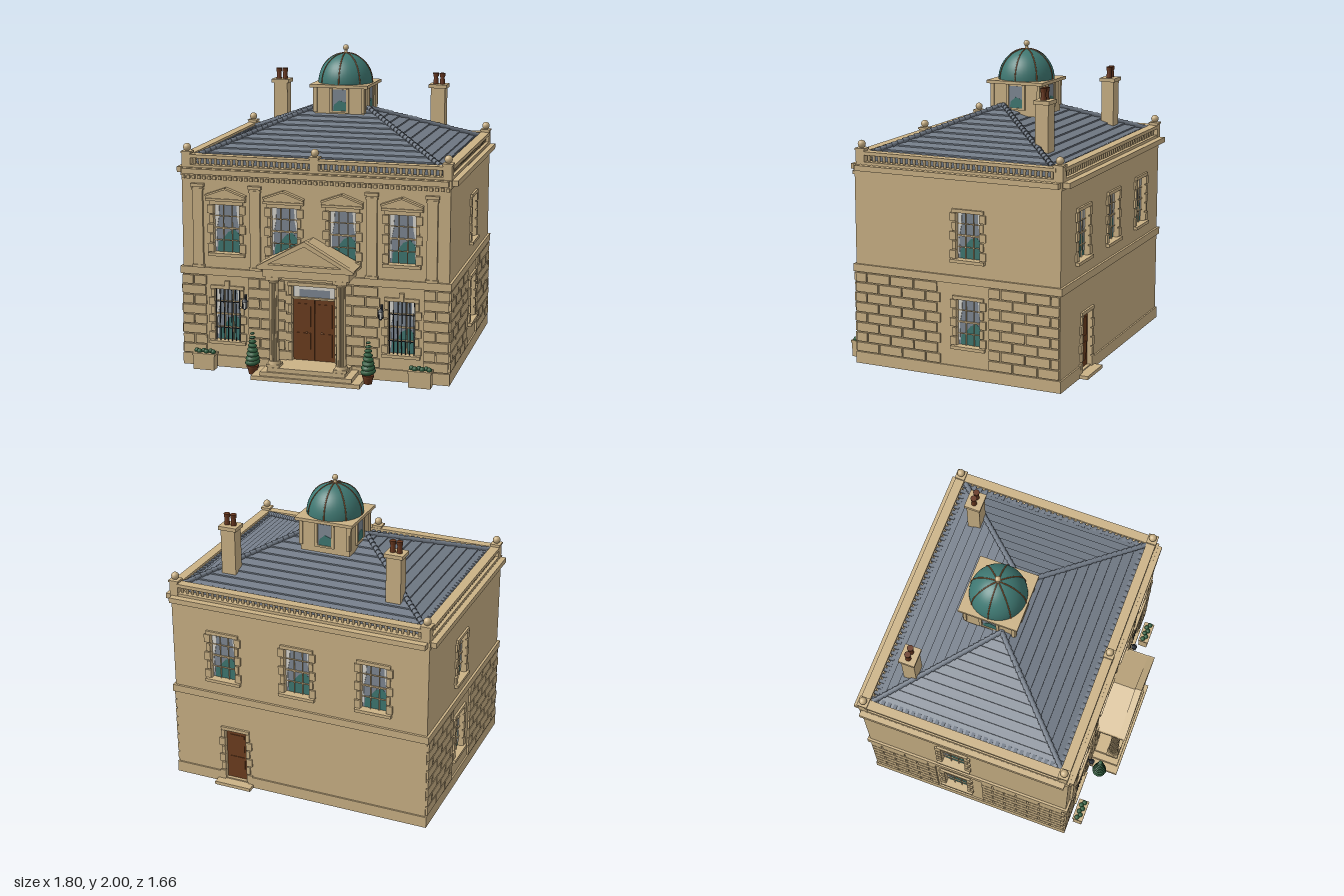
import * as THREE from 'three';
import { mergeGeometries } from 'three/addons/utils/BufferGeometryUtils.js';

const mat = (name, color, side = THREE.FrontSide) => {
  const m = new THREE.MeshStandardMaterial({ color, side });
  m.name = name;
  return m;
};
const SIDES = [-1, 1];

// geometry helpers
const box = (w, h, d, x = 0, y = 0, z = 0) => new THREE.BoxGeometry(w, h, d).translate(x, y, z);
const span = (x0, x1, y0, y1, z0, z1) =>
  box(x1 - x0, y1 - y0, z1 - z0, (x0 + x1) / 2, (y0 + y1) / 2, (z0 + z1) / 2);
const cyl = (rt, rb, h, x, y, z, n = 16) => new THREE.CylinderGeometry(rt, rb, h, n).translate(x, y, z);
const ball = (r, x, y, z) => new THREE.SphereGeometry(r, 16, 12).translate(x, y, z);
const poly = (pts) => new THREE.Shape(pts.map(([x, y]) => new THREE.Vector2(x, y)));
const slab = (shape, z0, z1) =>
  new THREE.ExtrudeGeometry(shape, { depth: z1 - z0, bevelEnabled: false }).translate(0, 0, z0);

function add(parent, name, geos, material) {
  const list = [geos].flat().map((g) => (g.index ? g.toNonIndexed() : g));
  const mesh = new THREE.Mesh(list.length > 1 ? mergeGeometries(list) : list[0], material);
  mesh.name = name;
  parent.add(mesh);
  return mesh;
}
function group(parent, name, x = 0, y = 0, z = 0, ry = 0) {
  const g = new THREE.Group();
  g.name = name;
  g.position.set(x, y, z);
  g.rotation.y = ry;
  parent.add(g);
  return g;
}

export function createModel() {
  const M = {
    stone: mat('stone', 0xcbb286), slate: mat('slate', 0x737c88, THREE.DoubleSide),
    verdigris: mat('verdigris', 0x3f7872), copper: mat('copper', 0x9a6238),
    wood: mat('wood', 0x6e3e1f), clay: mat('clay', 0x67371f),
    leaf: mat('foliage', 0x2f5c3d), glass: mat('glass', 0x7f8994),
    iron: mat('iron', 0x2e343c), white: mat('white', 0xdcdad2),
  };
  const root = new THREE.Group();
  root.name = 'townHouse';

  // wall panel with openings [x, y, w, h], outer face on local z = 0
  function wall(parent, x0, x1, holes) {
    const s = poly([[x0, 0], [x1, 0], [x1, 1.25], [x0, 1.25]]);
    for (const [x, y, w, h] of holes) {
      const [a, b, c, d] = [x - w / 2, x + w / 2, y - h / 2, y + h / 2];
      s.holes.push(new THREE.Path([[a, c], [a, d], [b, d], [b, c]].map((p) => new THREE.Vector2(...p))));
    }
    add(parent, 'wall', slab(s, -0.05, 0), M.stone);
  }

  // alternating long and short blocks beside an opening
  function quoins(parent, w, h) {
    const n = Math.round(h / 0.058), g = [];
    for (const s of SIDES) for (let i = 0; i < n; i++) {
      const bw = i % 2 ? 0.024 : 0.04;
      g.push(box(bw, h / n - 0.008, 0.014, s * (w / 2 + bw / 2), -h / 2 + (i + 0.5) * h / n, 0.005));
    }
    g.push(box(w + 0.05, 0.022, 0.016, 0, h / 2 + 0.011, 0.006));
    add(parent, 'surround', g, M.stone);
  }

  function windowUnit(parent, [x, y, w, h], { pediment, grille } = {}) {
    const g = group(parent, 'window', x, y, 0);
    add(g, 'pane', box(w, h, 0.004, 0, 0, -0.032), M.glass);
    const tint = poly([[-0.42, -0.5], [-0.4, -0.3], [-0.2, -0.22], [0, -0.08], [0.25, -0.02], [0.42, -0.12],
      [0.5, -0.1], [0.5, -0.5]].map(([a, b]) => [a * w, b * h]));
    add(g, 'paneTint', slab(tint, -0.0355, -0.0285), M.verdigris);
    const drapes = SIDES.map((s) => {
      const p = [[0.5, 0.5], [0.33, 0.5], [0.36, 0.2], [0.45, -0.05], [0.43, -0.4], [0.5, -0.4]];
      return slab(poly(p.map(([a, b]) => [s * a * w, b * h])), -0.028, -0.024);
    });
    add(g, 'curtains', drapes, M.white);
    const bars = [box(0.005, h, 0.008, -w / 6, 0, -0.021), box(0.005, h, 0.008, w / 6, 0, -0.021)];
    for (const k of [-0.25, 0, 0.25]) bars.push(box(w, k ? 0.005 : 0.01, 0.008, 0, k * h, -0.021));
    add(g, 'glazingBars', bars, M.stone);
    quoins(g, w, h);
    add(g, 'sill', box(w + 0.07, 0.02, 0.03, 0, -h / 2 - 0.01, 0.01), M.stone);
    if (pediment) {
      const t = h / 2 + 0.025;
      add(g, 'pediment', [
        box(w + 0.09, 0.016, 0.03, 0, t + 0.008, 0.014),
        slab(poly([[-0.13, t + 0.016], [0.13, t + 0.016], [0.13, t + 0.032], [0, t + 0.08], [-0.13, t + 0.032]]), 0, 0.02),
        ...SIDES.map((s) => box(0.14, 0.012, 0.034, 0, 0, 0.016).rotateZ(-s * 0.354).translate(s * 0.066, t + 0.058, 0)),
      ], M.stone);
    }
    if (grille) {
      const r = [-0.25, 0.25].map((k) => box(w, 0.005, 0.005, 0, k * h, 0));
      for (let i = 0; i < 7; i++) r.push(cyl(0.003, 0.003, h, (i / 6 - 0.5) * (w - 0.015), 0, 0, 6));
      add(g, 'grille', r, M.iron);
      add(g, 'keystone', box(0.03, 0.05, 0.022, 0, h / 2 + 0.03, 0.008), M.stone);
    }
  }

  // running-bond stone blocks on the ground floor
  function rustication(parent, x0, x1, len = 0.165) {
    const g = [];
    for (let i = 0; i < 8; i++) {
      for (let x = x0 - (i % 2 ? len / 2 : 0); x < x1 - 0.02; x += len) {
        const a = Math.max(x, x0), b = Math.min(x + len, x1);
        if (b - a > 0.03) g.push(span(a + 0.005, b - 0.005, 0.082 + i * 0.065, 0.139 + i * 0.065, -0.01, 0.013));
      }
    }
    add(parent, 'rustication', g, M.stone);
  }

  // front wall
  const front = group(root, 'frontWall', 0, 0, 0.62);
  const up = [-0.565, -0.188, 0.188, 0.565].map((x) => [x, 0.905, 0.17, 0.31]);
  const low = SIDES.map((s) => [s * 0.565, 0.345, 0.17, 0.34]);
  wall(front, -0.86, 0.86, [...up, ...low, [0, 0.325, 0.28, 0.49]]);
  up.forEach((o) => windowUnit(front, o, { pediment: true }));
  low.forEach((o) => windowUnit(front, o, { grille: true }));
  for (const s of SIDES) {
    rustication(front, ...[s * 0.7, s * 0.87].sort((a, b) => a - b));
    rustication(front, ...[s * 0.17, s * 0.43].sort((a, b) => a - b));
    for (const x of [0.375, 0.752]) {
      add(front, 'pilaster', [box(0.066, 0.54, 0.02, s * x, 0.92, 0.008), box(0.085, 0.02, 0.03, s * x, 1.18, 0.012),
        box(0.076, 0.012, 0.026, s * x, 1.155, 0.01), box(0.08, 0.018, 0.028, s * x, 0.659, 0.011)], M.stone);
    }
  }

  // main entrance
  const entry = group(front, 'entrance', 0, 0.325, 0);
  quoins(entry, 0.28, 0.49);
  for (const s of SIDES) {
    add(entry, 'doorLeaf', [box(0.137, 0.4, 0.016, s * 0.07, -0.045, -0.03),
      ...[-0.14, 0.05].map((y) => box(0.09, 0.15, 0.006, s * 0.07, y, -0.021))], M.wood);
    add(entry, 'doorKnob', ball(0.007, s * 0.05, -0.06, -0.015), M.copper);
  }
  add(entry, 'doorHead', box(0.28, 0.012, 0.024, 0, 0.16, -0.025), M.stone);
  add(entry, 'fanlight', box(0.28, 0.08, 0.004, 0, 0.205, -0.03), M.glass);
  add(entry, 'fanlightCurtain', [box(0.26, 0.018, 0.004, 0, 0.226, -0.026),
    ...SIDES.map((s) => box(0.03, 0.075, 0.004, s * 0.115, 0.205, -0.026))], M.white);

  // side walls
  for (const s of SIDES) {
    const side = group(root, s > 0 ? 'leftWall' : 'rightWall', s * 0.86, 0, 0, s * Math.PI / 2);
    const range = (a, b) => (s > 0 ? [a, b] : [-b, -a]);
    const holes = [[s * 0.16, 0.9, 0.16, 0.29], [s * 0.16, 0.355, 0.16, 0.295]];
    wall(side, ...range(-0.61, 0.755), holes);
    holes.forEach((o) => windowUnit(side, o));
    rustication(side, ...range(-0.625, -0.025));
    rustication(side, ...range(0.295, 0.765));
  }

  // back wall
  const back = group(root, 'backWall', 0, 0, -0.765, Math.PI);
  const rear = [-0.51, 0, 0.51].map((x) => [x, 0.905, 0.17, 0.31]);
  wall(back, -0.86, 0.86, [...rear, [-0.44, 0.21, 0.15, 0.36]]);
  rear.forEach((o) => windowUnit(back, o));
  const rearDoor = group(back, 'rearDoor', -0.44, 0.21, 0);
  quoins(rearDoor, 0.15, 0.36);
  add(rearDoor, 'rearDoorLeaf', [box(0.15, 0.36, 0.016, 0, 0, -0.03),
    ...[-0.08, 0.08].map((y) => box(0.1, 0.12, 0.006, 0, y, -0.021))], M.wood);
  add(root, 'rearStep', span(0.32, 0.57, 0, 0.022, -0.83, -0.76), M.stone);

  // plinth, string course, cornice
  add(root, 'plinth', [span(-0.87, 0.87, 0, 0.075, 0.57, 0.63), span(-0.87, 0.36, 0, 0.075, -0.775, -0.715),
    span(0.52, 0.87, 0, 0.075, -0.775, -0.715),
    ...SIDES.map((s) => box(0.06, 0.075, 1.29, s * 0.84, 0.0375, -0.0725))], M.stone);
  add(root, 'stringCourse', [span(-0.875, 0.875, 0.602, 0.65, 0.6, 0.635), span(-0.875, 0.875, 0.602, 0.65, -0.78, -0.745),
    ...SIDES.map((s) => box(0.035, 0.048, 1.36, s * 0.8575, 0.626, -0.0725))], M.stone);
  add(root, 'cornice', [span(-0.865, 0.865, 1.235, 1.286, -0.77, 0.625), span(-0.85, 0.85, 1.25, 1.284, 0.6, 0.65),
    span(-0.85, 0.85, 1.25, 1.284, -0.815, -0.75),
    ...SIDES.map((s) => box(0.06, 0.034, 1.36, s * 0.87, 1.267, -0.08))], M.stone);
  const dentils = [];
  for (let i = 0; i < 50; i++) dentils.push(box(0.019, 0.022, 0.022, -0.845 + i * 0.0345, 1.23, 0.628));
  add(root, 'dentils', dentils, M.stone);

  // parapet with balusters, piers and ball finials
  const [zF, zB, xS] = [0.58, -0.745, 0.835], zM = (zF + zB) / 2;
  const parapet = [], balusters = [];
  for (const [y, h, w] of [[1.293, 0.018, 0.055], [1.356, 0.022, 0.06]]) {
    for (const z of [zF, zB]) parapet.push(box(1.64, h, w, 0, y, z));
    for (const s of SIDES) parapet.push(box(w, h, zF - zB - 0.03, s * xS, y, zM));
  }
  for (let i = 0; i < 46; i++) for (const z of [zF, zB]) balusters.push(cyl(0.012, 0.008, 0.046, -0.7875 + i * 0.035, 1.323, z, 8));
  for (let i = 0; i < 36; i++) for (const s of SIDES) balusters.push(cyl(0.012, 0.008, 0.046, s * xS, 1.323, zM - 0.6125 + i * 0.035, 8));
  add(root, 'parapetRails', parapet, M.stone);
  add(root, 'balusters', balusters, M.stone);
  for (const [x, z] of [[-xS, zF], [xS, zF], [-xS, zB], [xS, zB], [0, zF]]) {
    add(root, 'parapetPier', [box(0.055, 0.1, 0.058, x, 1.335, z), box(0.066, 0.012, 0.066, x, 1.38, z), ball(0.025, x, 1.409, z)], M.stone);
  }

  // hipped roof in overlapping courses
  const ring = (t, lift) => {
    const x = 0.8 - 0.625 * t, y = 1.335 + 0.262 * t + lift, f = 0.55 - 0.625 * t, b = -0.7 + 0.625 * t;
    return [[-x, y, f], [x, y, f], [x, y, b], [-x, y, b]];
  };
  const N = 11, rings = [], tri = [];
  for (let i = 0; i < N; i++) rings.push(ring(i / N, 0.009), ring((i + 1) / N, 0));
  for (let r = 0; r + 1 < rings.length; r++) for (let k = 0; k < 4; k++) {
    const [a, b] = [rings[r][k], rings[r][(k + 1) % 4]], [c, d] = [rings[r + 1][(k + 1) % 4], rings[r + 1][k]];
    tri.push(...a, ...b, ...c, ...a, ...c, ...d);
  }
  const roof = new THREE.BufferGeometry();
  roof.setAttribute('position', new THREE.Float32BufferAttribute(tri, 3));
  roof.computeVertexNormals();
  add(root, 'roof', roof, M.slate);
  const eaves = [span(-0.79, 0.79, 1.285, 1.336, -0.69, 0.54)];
  for (let i = 0; i < 40; i++) for (const z of [0.545, -0.695]) eaves.push(box(0.022, 0.016, 0.035, -0.78 + i * 0.04, 1.345, z));
  for (let i = 0; i < 31; i++) for (const s of SIDES) eaves.push(box(0.035, 0.016, 0.022, s * 0.79, 1.345, -0.675 + i * 0.04));
  add(root, 'eavesTiles', eaves, M.slate);
  const hips = [], [foot, head] = [ring(0, 0.012), ring(1, 0.006)];
  for (let k = 0; k < 4; k++) {
    const A = new THREE.Vector3(...foot[k]), B = new THREE.Vector3(...head[k]), n = 24;
    const q = new THREE.Quaternion().setFromUnitVectors(new THREE.Vector3(0, 1, 0), B.clone().sub(A).normalize());
    for (let i = 0; i < n; i++) {
      const p = A.clone().lerp(B, (i + 0.5) / n);
      hips.push(new THREE.CylinderGeometry(0.013, 0.019, A.distanceTo(B) / n, 8).applyQuaternion(q).translate(p.x, p.y, p.z));
    }
  }
  hips.push(cyl(0.016, 0.016, 0.35, 0, 0, 0, 8).rotateZ(Math.PI / 2).translate(0, 1.6, -0.075));
  add(root, 'hipTiles', hips, M.slate);

  // cupola
  const cupola = group(root, 'cupola', 0, 0, -0.16);
  add(cupola, 'cupolaBody', [box(0.33, 0.21, 0.33, 0, 1.64, 0), box(0.386, 0.02, 0.386, 0, 1.747, 0)], M.stone);
  for (let k = 0; k < 4; k++) {
    const face = group(cupola, 'cupolaFace', 0, 1.655, 0, k * Math.PI / 2);
    add(face, 'cupolaPane', box(0.09, 0.14, 0.006, 0, 0, 0.165), M.glass);
    add(face, 'cupolaTint', slab(poly([[-0.04, -0.07], [-0.035, -0.03], [0, 0], [0.045, -0.015], [0.045, -0.07]]), 0.166, 0.1695), M.verdigris);
    add(face, 'cupolaTrim', [...SIDES.map((s) => box(0.018, 0.155, 0.016, s * 0.056, 0, 0.168)),
      box(0.13, 0.012, 0.016, 0, -0.075, 0.168), ...SIDES.map((s) => box(0.02, 0.16, 0.014, s * 0.158, 0, 0.168))], M.stone);
  }
  const dome = group(cupola, 'dome', 0, 1.757, 0);
  dome.scale.y = 1.05;
  add(dome, 'domeShell', new THREE.SphereGeometry(0.18, 40, 14, 0, Math.PI * 2, 0, Math.PI / 2), M.verdigris);
  const ribs = [];
  for (let k = 0; k < 8; k++) ribs.push(new THREE.TorusGeometry(0.18, 0.004, 6, 20, Math.PI / 2).rotateY(k * Math.PI / 4));
  add(dome, 'domeRibs', ribs, M.copper);
  add(cupola, 'finial', [cyl(0.008, 0.014, 0.03, 0, 1.954, 0), ball(0.019, 0, 1.981, 0)], M.stone);

  // chimneys
  for (const s of SIDES) {
    const c = group(root, 'chimney', s * 0.55, 0, -0.525);
    add(c, 'chimneyStack', [box(0.096, 0.33, 0.085, 0, 1.535, 0), box(0.122, 0.024, 0.105, 0, 1.702, 0)], M.stone);
    for (const k of SIDES) add(c, 'chimneyPot', [cyl(0.014, 0.018, 0.05, k * 0.022, 1.738, 0), cyl(0.02, 0.018, 0.024, k * 0.022, 1.775, 0)], M.clay);
  }

  // portico: steps, fluted columns, entablature and gable
  const portico = group(root, 'portico');
  add(portico, 'steps', [span(-0.35, 0.35, 0, 0.027, 0.6, 0.83), span(-0.295, 0.295, 0.027, 0.053, 0.6, 0.815),
    span(-0.25, 0.25, 0.053, 0.08, 0.6, 0.8)], M.stone);
  const shaft = new THREE.CylinderGeometry(0.028, 0.032, 0.51, 40, 1);
  const P = shaft.attributes.position;
  for (let i = 0; i < P.count; i++) {
    const a = Math.atan2(P.getZ(i), P.getX(i)), f = Math.round(a / (Math.PI / 20)) % 2 ? 0.88 : 1;
    P.setXYZ(i, P.getX(i) * f, P.getY(i), P.getZ(i) * f);
  }
  const fluted = shaft.toNonIndexed();
  fluted.computeVertexNormals();
  for (const s of SIDES) {
    const x = s * 0.216, z = 0.757;
    add(portico, 'column', [fluted.clone().translate(x, 0.37, z), box(0.086, 0.018, 0.08, x, 0.089, z),
      cyl(0.036, 0.041, 0.02, x, 0.108, z, 24), cyl(0.042, 0.03, 0.02, x, 0.63, z, 24), box(0.088, 0.022, 0.08, x, 0.65, z)], M.stone);
  }
  add(portico, 'entablature', [span(-0.275, 0.275, 0.66, 0.716, 0.61, 0.795), span(-0.308, 0.308, 0.714, 0.735, 0.61, 0.825)], M.stone);
  const gable = (w, y0, y1) => [[-w, y0], [w, y0], [0, y1]];
  const frame = poly(gable(0.312, 0.73, 0.905));
  frame.holes.push(new THREE.Path(gable(0.235, 0.748, 0.872).reverse().map((p) => new THREE.Vector2(...p))));
  add(portico, 'gable', [slab(frame, 0.785, 0.83), slab(poly(gable(0.31, 0.73, 0.885)), 0.61, 0.8)], M.stone);

  // lanterns, topiary and planters
  for (const s of SIDES) {
    const lamp = group(root, 'lantern', s * 0.44, 0.43, 0.66);
    add(lamp, 'lanternGlass', cyl(0.017, 0.011, 0.045, 0, 0, 0, 6), M.white);
    const rods = [0, 1, 2].map((k) => box(0.036, 0.046, 0.002).rotateY(k * Math.PI / 3).scale(0.95, 1, 0.95));
    add(lamp, 'lanternFrame', [...rods, cyl(0.004, 0.021, 0.022, 0, 0.033, 0, 6), cyl(0.012, 0.008, 0.008, 0, -0.026, 0, 6),
      box(0.006, 0.006, 0.05, 0, 0.046, -0.02), box(0.014, 0.08, 0.006, 0, 0.02, -0.026)], M.iron);

    const tree = group(root, 'topiary', s * 0.375, 0, 0.71);
    add(tree, 'treePot', [cyl(0.034, 0.024, 0.045, 0, 0.0225, 0), cyl(0.038, 0.038, 0.012, 0, 0.05, 0)], M.clay);
    const tiers = [];
    for (let i = 0; i < 8; i++) {
      const r = 0.05 - i * 0.005;
      tiers.push(new THREE.IcosahedronGeometry(r, 1).scale(1, 0.5, 1).rotateZ(0.15).rotateY(i).translate(0, 0.078 + i * 0.0265, 0));
    }
    add(tree, 'treeTiers', tiers, M.leaf);

    const planter = group(root, 'planter', s * 0.7, 0, 0.688);
    add(planter, 'planterBox', [box(0.14, 0.1, 0.062, 0, 0.05, 0), box(0.15, 0.014, 0.072, 0, 0.1, 0)], M.stone);
    const tufts = [];
    for (let i = 0; i < 6; i++) tufts.push(new THREE.IcosahedronGeometry(0.017, 1).translate(-0.0575 + i * 0.023, 0.115, i % 2 ? 0.008 : -0.008));
    add(planter, 'planterShrubs', tufts, M.leaf);
  }
  return root;
}
